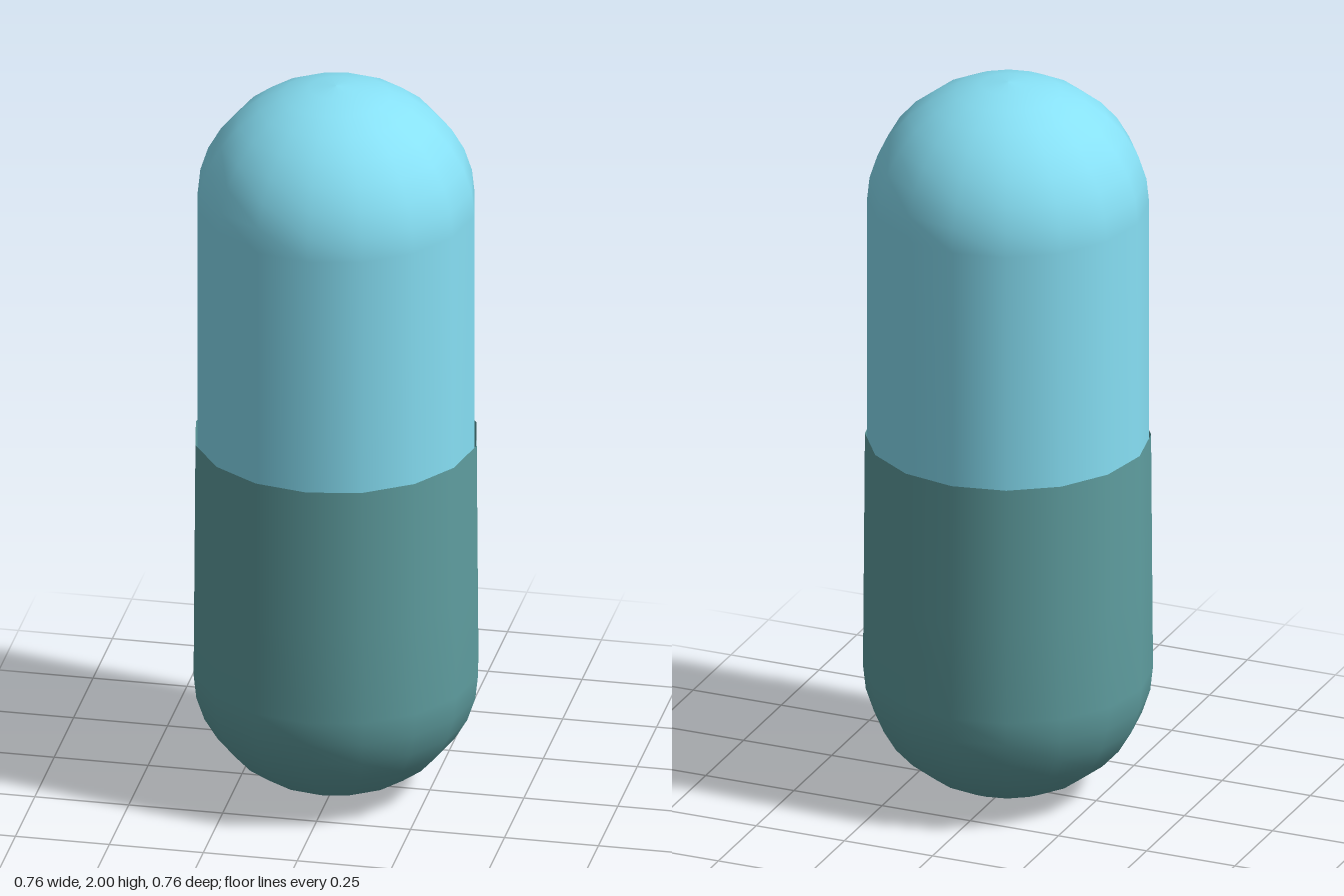
import * as THREE from 'three';

const SIDES = 16;
const DOME_STEPS = 8;
const DOME_HEIGHT = 0.34;

// Quarter-ellipse profile from the rim (t = 0) to the pole (t = 1)
function domePoints(radius, rimY, direction) {
  return Array.from({ length: DOME_STEPS + 1 }, (_, i) => {
    const a = (i / DOME_STEPS) * Math.PI / 2;
    const x = i === DOME_STEPS ? 0 : radius * Math.cos(a);
    return new THREE.Vector2(x, rimY + direction * DOME_HEIGHT * Math.sin(a));
  });
}

function shell(name, points, color) {
  const material = new THREE.MeshStandardMaterial({ color, side: THREE.DoubleSide });
  const mesh = new THREE.Mesh(new THREE.LatheGeometry(points, SIDES), material);
  mesh.name = name;
  return mesh;
}

export function createModel() {
  const group = new THREE.Group();
  group.name = 'capsule';

  // Upper half: its straight wall slides down inside the lower half
  const upper = [new THREE.Vector2(0.368, 0.6), ...domePoints(0.368, 2 - DOME_HEIGHT, 1)];
  group.add(shell('upperShell', upper, 0x87e0f5));

  // Lower half: slightly wider, tapering a little towards its open rim
  const lower = [
    ...domePoints(0.378, DOME_HEIGHT, -1).reverse(),
    new THREE.Vector2(0.376, 0.6),
    new THREE.Vector2(0.373, 1),
  ];
  group.add(shell('lowerShell', lower, 0x5f9ea0));

  return group;
}
